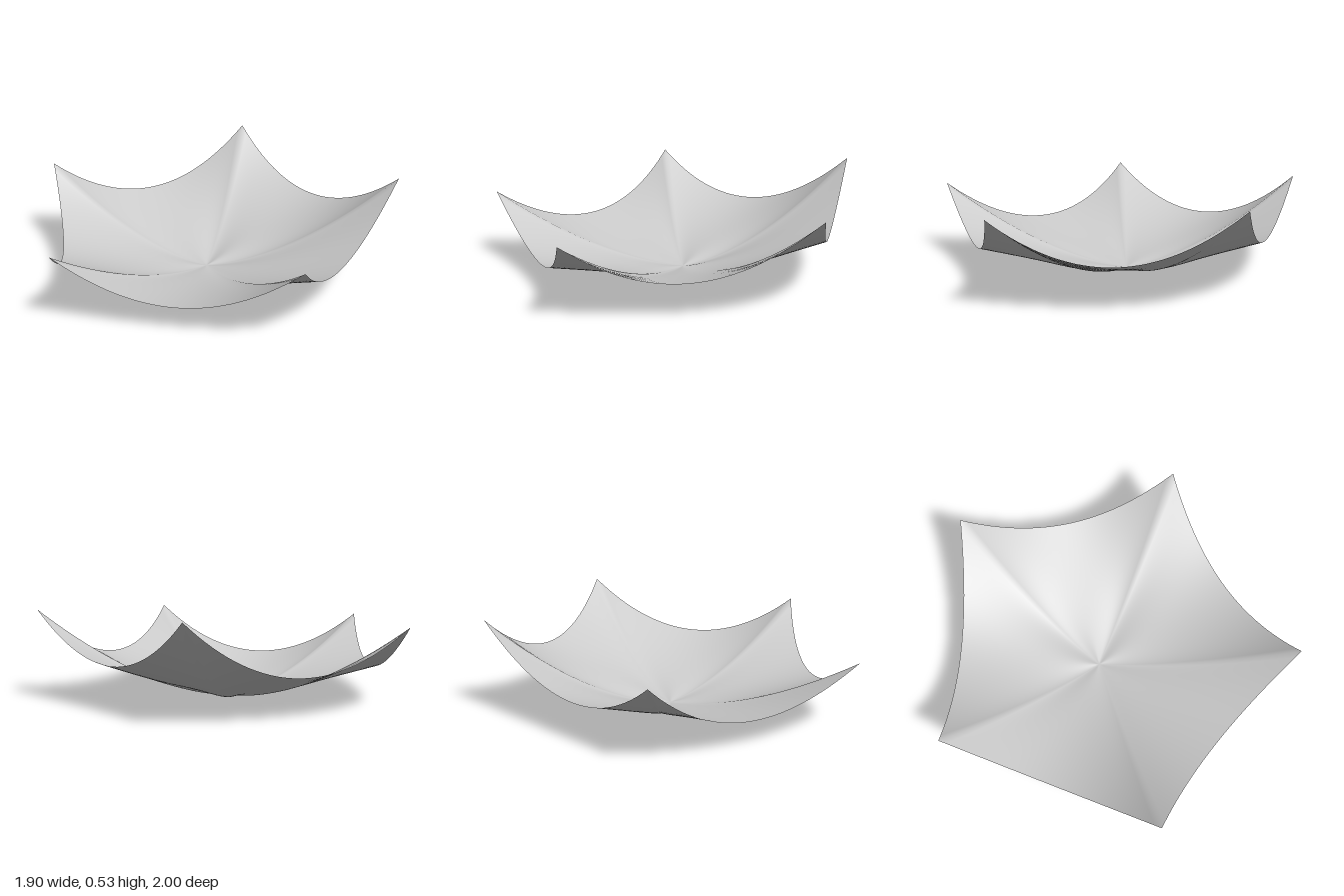
import * as THREE from 'three';

const v = (x, y, z) => new THREE.Vector3(x, y, z);

// Raised corners, and the lowest point of the edge that follows each one
const corners = [v(-0.95, 0.44, 0), v(-0.22, 0.53, -1), v(0.95, 0.49, -0.62), v(0.95, 0.4, 0.62), v(-0.22, 0.37, 1)];
const dips = [v(-0.56, 0.22, -0.48), v(0.36, 0.25, -0.78), v(0.9, 0.19, 0), v(0.34, 0.13, 0.745), v(-0.56, 0.15, 0.45)];
const centre = v(0.07, 0, -0.03);

const RINGS = 36, STEPS = 32;

// Sagging edge from one corner to the next, passing through its dip
function edgeCurve(i) {
  const a = corners[i], b = corners[(i + 1) % 5];
  const control = dips[i].clone().multiplyScalar(2).addScaledVector(a, -0.5).addScaledVector(b, -0.5);
  return new THREE.QuadraticBezierCurve3(a, control, b);
}

// Draped sheet: rings shrink from the rim to the centre; corners curl up more than the edges between
function sheetGeometry() {
  const edges = corners.map((_, i) => edgeCurve(i));
  const n = STEPS * 5;
  const pos = [centre.x, centre.y, centre.z], index = [];
  for (let r = 1; r <= RINGS; r++) {
    const s = r / RINGS;
    for (let j = 0; j < n; j++) {
      const t = (j % STEPS) / STEPS;
      const p = edges[Math.floor(j / STEPS)].getPoint(t);
      const power = 1.23 + 0.52 * Math.cos(Math.PI * t) ** 2;
      pos.push(
        centre.x + (p.x - centre.x) * s,
        p.y * Math.pow(s, power),
        centre.z + (p.z - centre.z) * s
      );
    }
  }
  const id = (r, j) => 1 + (r - 1) * n + (j % n);
  for (let j = 0; j < n; j++) {
    index.push(0, id(1, j + 1), id(1, j));
    for (let r = 1; r < RINGS; r++) {
      const a = id(r, j), b = id(r, j + 1), c = id(r + 1, j + 1), d = id(r + 1, j);
      index.push(a, b, c, a, c, d);
    }
  }
  const g = new THREE.BufferGeometry();
  g.setAttribute('position', new THREE.Float32BufferAttribute(pos, 3));
  g.setIndex(index);
  g.computeVertexNormals();
  return g;
}

export function createModel() {
  const group = new THREE.Group();
  group.name = 'pentagonalCanopy';
  const material = new THREE.MeshStandardMaterial({ color: 0xcccccc, side: THREE.DoubleSide });
  const sheet = new THREE.Mesh(sheetGeometry(), material);
  sheet.name = 'sheet';
  group.add(sheet);
  return group;
}
